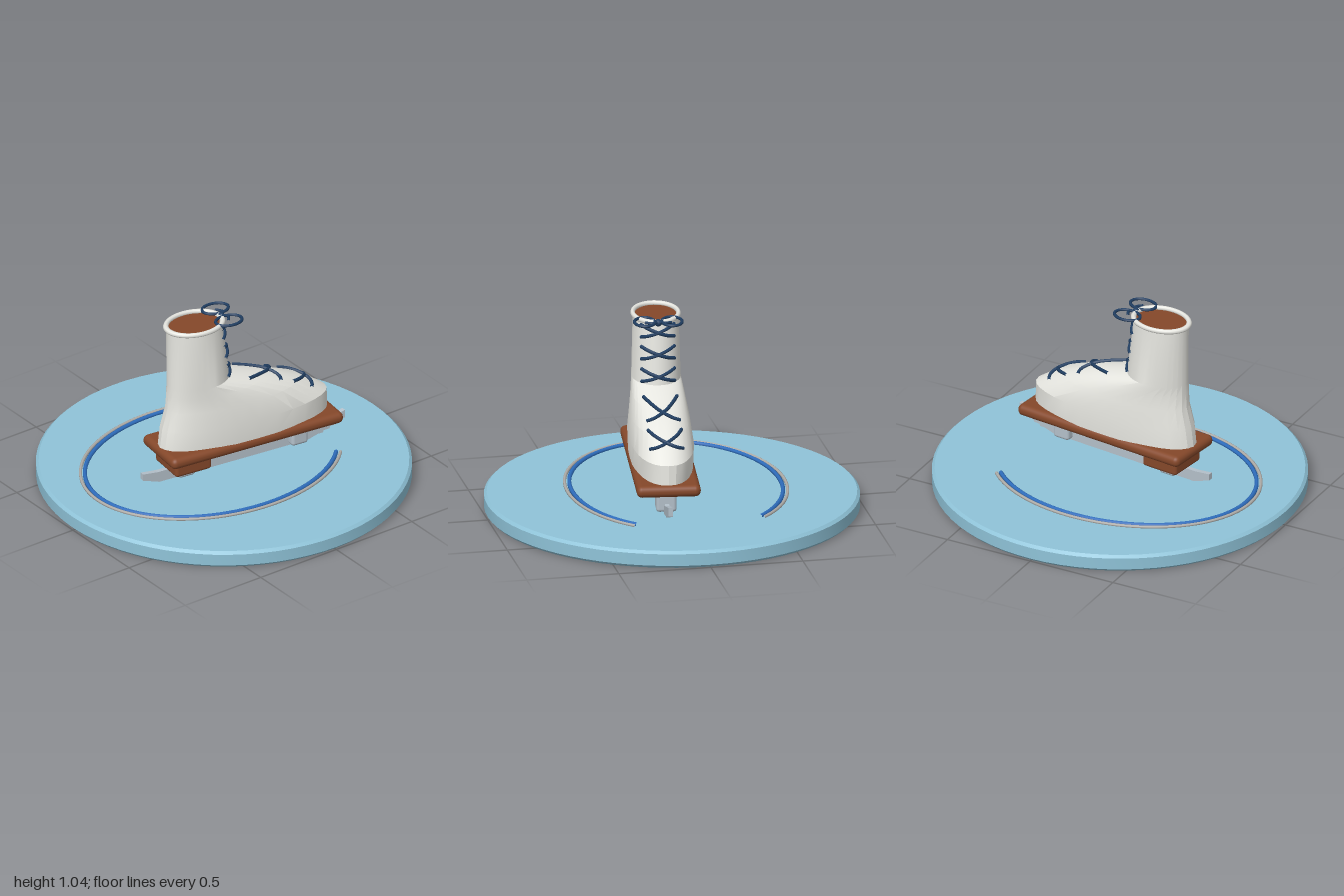
import * as THREE from 'three';
import { toCreasedNormals } from 'three/addons/utils/BufferGeometryUtils.js';
import { RoundedBoxGeometry } from 'three/addons/geometries/RoundedBoxGeometry.js';

function material(name, color, side = THREE.FrontSide) {
  const m = new THREE.MeshStandardMaterial({ color, side });
  m.name = name;
  return m;
}

// Boot cross-sections: height, heel end, toe end, half width, squareness
const SECTIONS = [
  [0.315, -0.51, 0.5, 0.165, 2.3],
  [0.43, -0.495, 0.495, 0.17, 2.3],
  [0.54, -0.465, 0.33, 0.157, 2.2],
  [0.62, -0.46, 0.12, 0.143, 2.1],
  [0.68, -0.455, -0.1, 0.132, 2],
  [1.02, -0.457, -0.143, 0.122, 2],
];

function sectionAt(y) {
  let i = 0;
  while (i < SECTIONS.length - 2 && y > SECTIONS[i + 1][0]) i++;
  const a = SECTIONS[i], b = SECTIONS[i + 1];
  const t = (y - a[0]) / (b[0] - a[0]);
  return a.map((v, k) => v + (b[k] - v) * t);
}

// Point on the front of the boot at height y and sideways offset z
function bootFront(y, z) {
  const [, back, front, w, n] = sectionAt(y);
  const k = Math.pow(Math.max(0, 1 - Math.pow(Math.abs(z) / w, n)), 1 / n);
  return new THREE.Vector3((back + front) / 2 + ((front - back) / 2) * k, y, z);
}

function bootGeometry() {
  const N = 32, pos = [], index = [];
  const power = (v, e) => Math.sign(v) * Math.pow(Math.abs(v), e);
  for (const [y, back, front, w, n] of SECTIONS) {
    for (let j = 0; j < N; j++) {
      const a = (j / N) * Math.PI * 2;
      pos.push((back + front) / 2 + ((front - back) / 2) * power(Math.cos(a), 2 / n), y, w * power(Math.sin(a), 2 / n));
    }
  }
  for (let i = 0; i < SECTIONS.length - 1; i++) {
    for (let j = 0; j < N; j++) {
      const a = i * N + j, b = i * N + ((j + 1) % N);
      index.push(a, a + N, b, b, a + N, b + N);
    }
  }
  const g = new THREE.BufferGeometry();
  g.setAttribute('position', new THREE.Float32BufferAttribute(pos, 3));
  g.setIndex(index);
  return toCreasedNormals(g, 0.35);
}

export function createModel() {
  const model = new THREE.Group();
  model.name = 'iceSkateOnRink';
  const ice = material('ice', 0x8fc3d8);
  const leather = material('white leather', 0xecece6, THREE.DoubleSide);
  const brown = material('brown leather', 0x85482a);
  const steel = material('steel', 0xb4c0ca);
  const navy = material('navy lace', 0x213f63);
  const blue = material('blue track', 0x2f6fc0);
  const grey = material('grey track', 0xb2b0ac);

  function add(parent, name, geometry, mat, x = 0, y = 0, z = 0) {
    const mesh = new THREE.Mesh(geometry, mat);
    mesh.name = name;
    mesh.position.set(x, y, z);
    parent.add(mesh);
    return mesh;
  }
  const tube = (points, r, closed = false, steps = 24) =>
    new THREE.TubeGeometry(new THREE.CatmullRomCurve3(points, closed), steps, r, 6, closed);

  // Round ice slab with bevelled rims
  const rim = [[0, 0], [0.985, 0], [1, 0.015], [1, 0.08], [0.985, 0.095], [0, 0.095]];
  const slab = new THREE.LatheGeometry(rim.map(([x, y]) => new THREE.Vector2(x, y)), 72);
  add(model, 'iceBase', toCreasedNormals(slab, 0.3), ice);

  // Open oval tracks cut in the ice
  function track(name, rx, rz, r, mat) {
    const points = [];
    for (let i = 0; i <= 48; i++) {
      const a = 0.64 + (i / 48) * (Math.PI * 2 - 1.28);
      points.push(new THREE.Vector3(-0.06 + rx * Math.cos(a), 0.1, -0.035 + rz * Math.sin(a)));
    }
    add(model, name, tube(points, r, false, 120), mat);
  }
  track('innerTrack', 0.724, 0.56, 0.012, blue);
  track('outerTrack', 0.747, 0.585, 0.009, grey);

  // Skate, turned slightly on the ice
  const skate = new THREE.Group();
  skate.name = 'skate';
  skate.position.set(0.07, 0, 0.077);
  skate.rotation.y = -0.12;
  model.add(skate);

  add(skate, 'sole', new RoundedBoxGeometry(1.05, 0.064, 0.342, 3, 0.03), brown, 0, 0.291, 0);
  add(skate, 'heelBlock', new RoundedBoxGeometry(0.22, 0.11, 0.23, 2, 0.018), brown, -0.365, 0.231, 0);
  for (const [name, x] of [['rearPost', -0.37], ['frontPost', 0.32]])
    add(skate, name, new RoundedBoxGeometry(0.1, 0.15, 0.11, 2, 0.018), steel, x, 0.202, 0);

  // Blade with a raised, toothed toe
  const outline = [[-0.62, 0.192], [-0.62, 0.155], [-0.52, 0.12], [0.39, 0.12], [0.45, 0.138]];
  for (let i = 0; i < 4; i++)
    outline.push([0.48 + i * 0.04, 0.138 + i * 0.014], [0.485 + i * 0.04, 0.15 + i * 0.014]);
  outline.push([0.615, 0.19], [0.615, 0.238], [0.4, 0.174], [-0.53, 0.182]);
  const blade = new THREE.ExtrudeGeometry(
    new THREE.Shape(outline.map(([x, y]) => new THREE.Vector2(x, y))),
    { depth: 0.026, bevelEnabled: false });
  add(skate, 'blade', blade, steel, 0, 0, -0.013);

  // Boot, rolled collar and lining
  add(skate, 'boot', bootGeometry(), leather);
  const collar = new THREE.TorusGeometry(0.14, 0.014, 8, 40);
  collar.rotateX(Math.PI / 2);
  add(skate, 'collar', collar, leather, -0.3, 1.021, 0).scale.set(1.14, 1, 0.87);
  const lining = new THREE.CircleGeometry(0.14, 40);
  lining.rotateX(-Math.PI / 2);
  add(skate, 'lining', lining, brown, -0.3, 1.014, 0).scale.set(1.12, 1, 0.85);

  // Crossed laces following the boot front
  for (const y of [0.963, 0.845, 0.725, 0.61, 0.515]) {
    for (const side of [-1, 1]) {
      const points = [];
      for (let i = -4; i <= 4; i++) {
        const p = bootFront(y + side * i * 0.0085, i * 0.0225);
        p.x += 0.005;
        p.y += y < 0.68 ? 0.004 : 0;
        points.push(p);
      }
      add(skate, 'lace', tube(points, 0.0095), navy);
    }
  }

  // Bow lying flat at the collar
  for (const side of [-1, 1]) {
    const loop = [];
    for (let i = 0; i < 16; i++) {
      const a = (i / 16) * Math.PI * 2;
      loop.push(new THREE.Vector3(-0.13 + 0.075 * Math.cos(a), 1.028, side * 0.073 + 0.054 * Math.sin(a)));
    }
    add(skate, 'bowLoop', tube(loop, 0.0085, true, 40), navy);
    add(skate, 'bowTail', tube([
      new THREE.Vector3(-0.135, 1.024, 0),
      new THREE.Vector3(-0.11, 1.026, side * 0.03),
      new THREE.Vector3(-0.13, 1.022, side * 0.07),
    ], 0.0085), navy);
  }
  add(skate, 'bowKnot', new THREE.SphereGeometry(0.02, 12, 8), navy, -0.135, 1.02, 0);

  return model;
}
